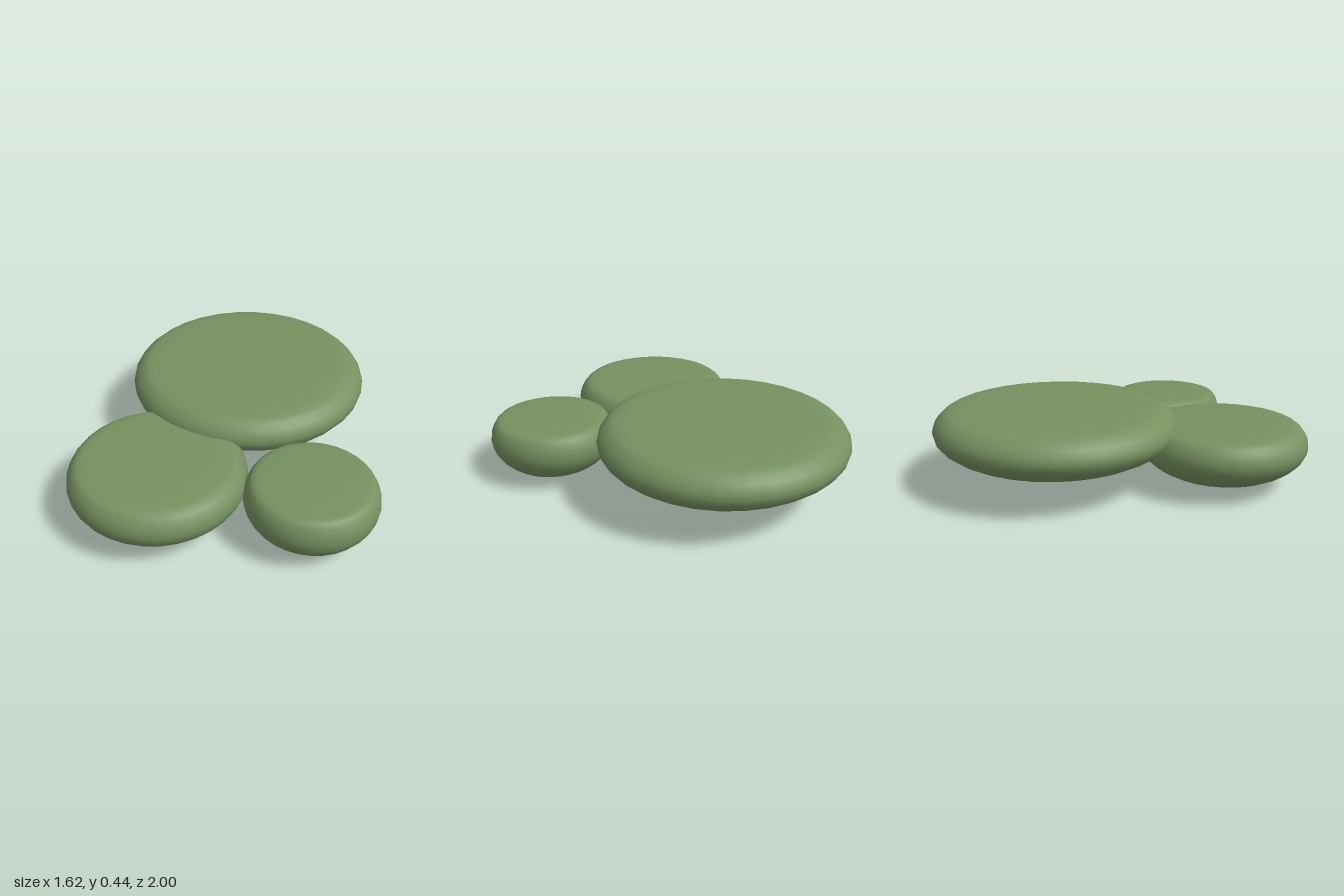
import * as THREE from 'three';

// Unit profile: half-ellipse underside, tight shoulder, almost flat top
function padProfile() {
  const pts = [];
  for (let i = 0; i <= 10; i++) {
    const a = -Math.PI / 2 + (i / 10) * (Math.PI / 2);
    pts.push(new THREE.Vector2(i === 0 ? 0 : Math.cos(a), Math.sin(a)));
  }
  const shoulder = [[0.988, 0.155], [0.957, 0.29], [0.915, 0.405], [0.875, 0.468],
    [0.82, 0.498], [0.74, 0.513], [0.5, 0.527], [0.25, 0.533], [0, 0.535]];
  shoulder.forEach(([r, y]) => pts.push(new THREE.Vector2(r, y)));
  return pts;
}

export function createModel() {
  const model = new THREE.Group();
  model.name = 'mossyPads';

  const green = new THREE.MeshStandardMaterial({ color: 0x769160 });
  green.name = 'mossGreen';

  // name, centre x, y of widest ring, centre z, radius, underside depth
  const pads = [
    ['largePad', 0.06, 0.327, -0.32, 0.68, 0.218],
    ['mediumPad', -0.34, 0.236, 0.525, 0.47, 0.217],
    ['smallPad', 0.457, 0.22, 0.6, 0.348, 0.22],
  ];

  for (const [name, x, y, z, radius, depth] of pads) {
    const profile = padProfile().map((p) => new THREE.Vector2(p.x * radius, p.y * depth));
    const pad = new THREE.Mesh(new THREE.LatheGeometry(profile, 32), green);
    pad.name = name;
    pad.position.set(x, y, z);
    model.add(pad);
  }
  return model;
}
